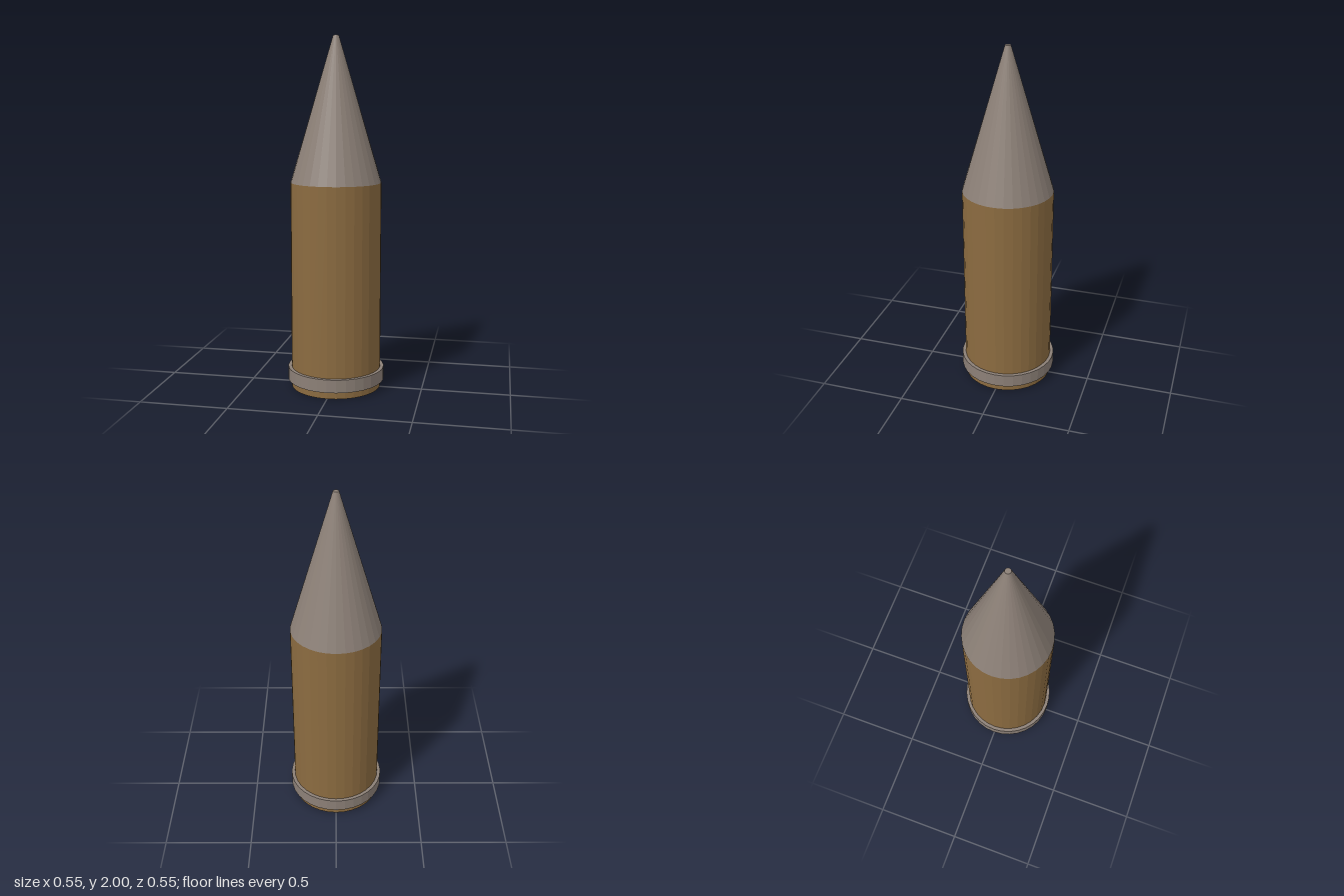
import * as THREE from 'three';

const SIDES = 32;

export function createModel() {
  const group = new THREE.Group();
  const brass = new THREE.MeshStandardMaterial({ color: 0x8b6b40, flatShading: true });
  brass.name = 'brass brown';
  const steel = new THREE.MeshStandardMaterial({ color: 0x8c8077, flatShading: true });
  steel.name = 'warm grey';

  // Round section between two heights
  const section = (name, rTop, rBottom, y0, y1, material) => {
    const geometry = new THREE.CylinderGeometry(rTop, rBottom, y1 - y0, SIDES);
    const mesh = new THREE.Mesh(geometry, material);
    mesh.name = name;
    mesh.position.y = (y0 + y1) / 2;
    group.add(mesh);
  };

  section('casing', 0.257, 0.257, 0, 1.184, brass);
  section('baseBand', 0.277, 0.277, 0.042, 0.116, steel);
  section('pointedTip', 0.016, 0.257, 1.184, 2, steel);

  return group;
}
